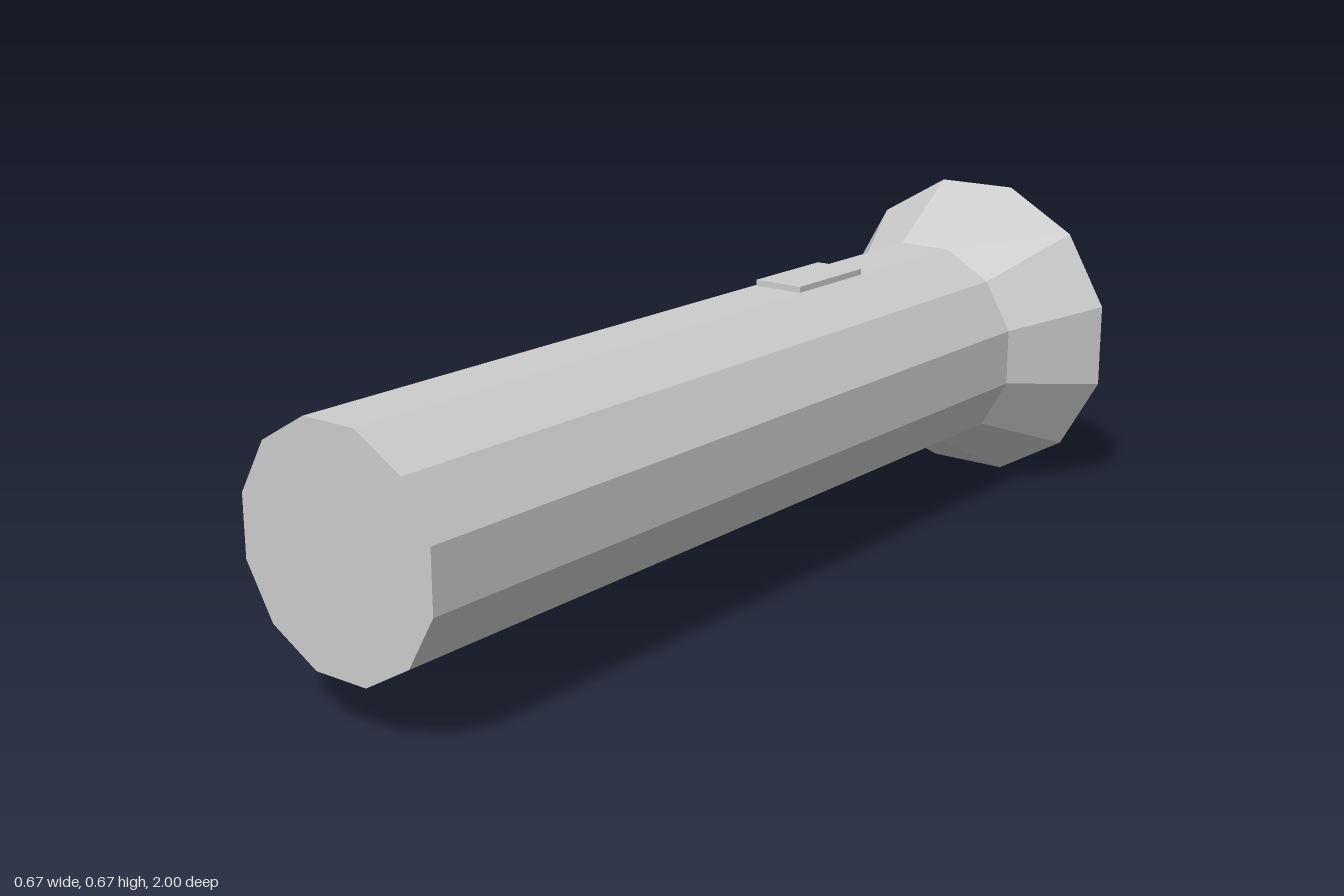
import * as THREE from 'three';

const SIDES = 12;
const AXIS_Y = 0.3335;
const BODY = 0.2222; // centre-to-flat distances
const HEAD = 0.3335;
const JOIN_Z = -0.78;

export function createModel() {
  const model = new THREE.Group();
  model.name = 'flashlight';
  const grey = new THREE.MeshStandardMaterial({ color: 0xcccccc });
  grey.name = 'grey';
  grey.flatShading = true;

  // Twelve-sided section along z, turned so flats face up, down and sideways
  function section(name, frontFlat, backFlat, zFront, zBack) {
    const k = 1 / Math.cos(Math.PI / SIDES);
    const geometry = new THREE.CylinderGeometry(
      frontFlat * k, backFlat * k, zFront - zBack, SIDES, 1, false, Math.PI / SIDES);
    geometry.rotateX(Math.PI / 2);
    const mesh = new THREE.Mesh(geometry, grey);
    mesh.name = name;
    mesh.position.set(0, AXIS_Y, (zFront + zBack) / 2);
    model.add(mesh);
  }

  // Handle and flared lamp head
  section('handle', BODY, BODY, 1, JOIN_Z);
  section('lampHead', BODY, HEAD, JOIN_Z, -1);

  // Switch plate, sunk slightly into the top flat
  const top = 0.568;
  const bottom = AXIS_Y + BODY - 0.005;
  const button = new THREE.Mesh(new THREE.BoxGeometry(0.11, top - bottom, 0.22), grey);
  button.name = 'switch';
  button.position.set(0, (top + bottom) / 2, -0.333);
  model.add(button);

  return model;
}
